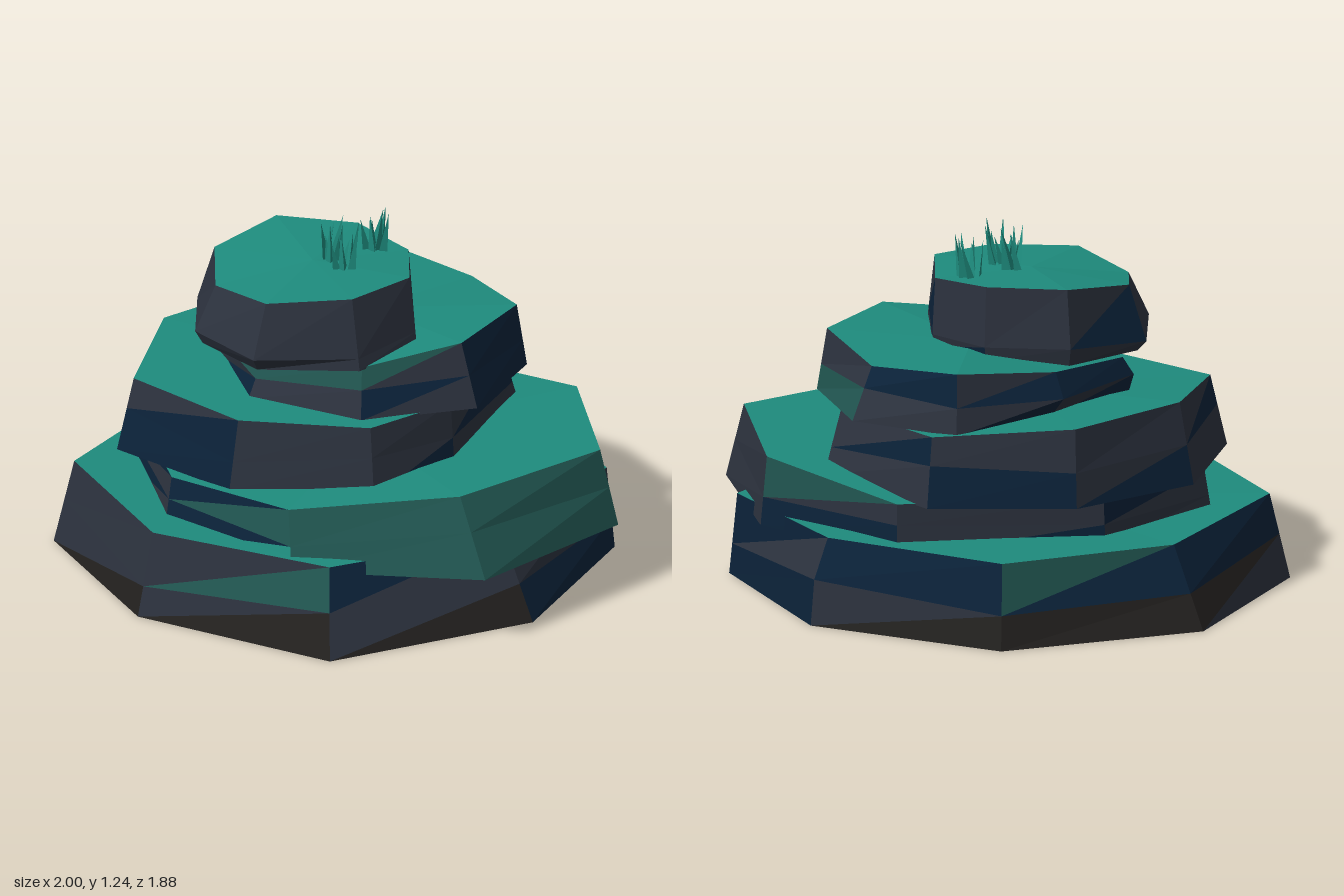
import * as THREE from 'three';

const make = (name, color) => {
  const m = new THREE.MeshStandardMaterial({ color });
  m.name = name;
  return m;
};

// One rock slab: each corner is [bottom x, bottom z, top x, top z, top y, flare],
// where flare pushes the middle ring outwards.
// Each side has four letters: two lower triangles, then two upper ones.
function slab(name, baseY, centreY, midRatio, corners, sides, materials) {
  const letters = 'tsnbm'; // turf, slate, navy, brown, moss
  const faces = [[], [], [], [], []];
  const put = (letter, ...pts) =>
    faces[letters.indexOf(letter)].push(...pts.flatMap((p) => p.toArray()));
  const centre = (ring, y) => ring
    .reduce((sum, p) => sum.add(p), new THREE.Vector3())
    .divideScalar(ring.length).setY(y);

  const low = corners.map(([x, z]) => new THREE.Vector3(x, baseY, z));
  const high = corners.map(([, , x, z, y]) => new THREE.Vector3(x, y, z));
  const topCentre = centre(high, centreY);
  const lowCentre = centre(low, baseY);
  const mid = corners.map(([, , , , , flare = 1], i) => {
    const p = low[i].clone().lerp(high[i], midRatio * (1 + 0.2 * Math.sin(i * 2.4)));
    p.x = lowCentre.x + (p.x - lowCentre.x) * flare;
    p.z = lowCentre.z + (p.z - lowCentre.z) * flare;
    return p;
  });

  corners.forEach((_, i) => {
    const j = (i + 1) % corners.length;
    const c = sides[i];
    put(c[0], low[i], mid[i], low[j]);
    put(c[1], mid[i], mid[j], low[j]);
    put(c[2], mid[i], high[i], mid[j]);
    put(c[3], high[i], high[j], mid[j]);
    put('t', topCentre, high[j], high[i]);
    put('b', lowCentre, low[i], low[j]);
  });

  const geo = new THREE.BufferGeometry();
  let start = 0;
  faces.forEach((f, k) => {
    if (f.length) geo.addGroup(start, f.length / 3, k);
    start += f.length / 3;
  });
  geo.setAttribute('position', new THREE.Float32BufferAttribute(faces.flat(), 3));
  geo.computeVertexNormals();
  const mesh = new THREE.Mesh(geo, materials);
  mesh.name = name;
  return mesh;
}

// A clump of thin three-sided blades leaning outwards
function tuft(x, z, turn, material) {
  const group = new THREE.Group();
  group.name = 'grassTuft';
  for (let i = 0; i < 7; i++) {
    const a = turn + i * 2.4;
    const h = 0.1 + 0.065 * Math.abs(Math.cos(i * 1.7 + turn));
    const reach = 0.01 + 0.004 * i;
    const cone = new THREE.ConeGeometry(0.017, h, 3);
    cone.translate(0, h / 2, 0);
    const geo = cone.toNonIndexed();
    geo.computeVertexNormals();
    const blade = new THREE.Mesh(geo, material);
    blade.name = 'grassBlade';
    blade.position.set(reach * Math.cos(a), 0, reach * Math.sin(a));
    blade.rotation.set(0.2 * Math.sin(a), a, -0.2 * Math.cos(a));
    group.add(blade);
  }
  group.position.set(x, 1.08, z);
  return group;
}

export function createModel() {
  const model = new THREE.Group();
  model.name = 'steppedRock';
  const turf = make('turf', 0x1e8b7d);
  const mats = [
    turf,
    make('slate', 0x2c323e),
    make('navy', 0x0b2239),
    make('brown', 0x23211f),
    make('moss', 0x20544f),
  ];

  model.add(slab('baseSlab', 0, 0.3, 0.45, [
    [0.96, -0.03, 0.82, -0.02, 0.28],
    [0.74, 0.72, 0.63, 0.62, 0.29],
    [0, 0.94, 0, 0.87, 0.295],
    [-0.69, 0.7, -0.64, 0.65, 0.3],
    [-1, 0.01, -0.85, 0.01, 0.28],
    [-0.72, -0.68, -0.66, -0.62, 0.29],
    [-0.03, -0.94, -0.03, -0.86, 0.3, 1.03],
    [0.66, -0.69, 0.63, -0.68, 0.29],
  ], ['bssn', 'bsms', 'bsss', 'sbnn', 'bbnm', 'bsnn', 'nnsn', 'nnss'], mats));

  model.add(slab('wideSlab', 0.245, 0.46, 0.5, [
    [0.95, -0.44, 0.88, -0.42, 0.51],
    [1, 0.23, 0.84, 0.2, 0.5],
    [0.49, 0.67, 0.42, 0.62, 0.44],
    [-0.08, 0.74, -0.1, 0.69, 0.42],
    [-0.6, 0.42, -0.58, 0.4, 0.42],
    [-0.62, -0.1, -0.61, -0.1, 0.42],
    [-0.23, -0.72, -0.22, -0.71, 0.43],
    [0.39, -0.79, 0.38, -0.77, 0.49],
  ], ['mmmm', 'mmmm', 'tnmn', 'snsn', 'sssn', 'nsss', 'nnsm', 'ssss'], mats));

  model.add(slab('middleSlab', 0.425, 0.69, 0.5, [
    [0.54, -0.05, 0.52, -0.05, 0.68],
    [0.52, 0.31, 0.48, 0.29, 0.67],
    [0.13, 0.63, 0.12, 0.58, 0.67],
    [-0.4, 0.67, -0.38, 0.61, 0.68],
    [-0.71, 0.23, -0.65, 0.22, 0.71],
    [-0.67, -0.28, -0.64, -0.26, 0.7],
    [-0.32, -0.66, -0.3, -0.62, 0.67],
    [0.25, -0.62, 0.24, -0.55, 0.65],
  ], ['nsss', 'ssss', 'nnns', 'ssns', 'nsss', 'nnss', 'ssns', 'ssns'], mats));

  model.add(slab('upperSlab', 0.67, 0.86, 0.5, [
    [0.6, -0.1, 0.52, -0.1, 0.89],
    [0.41, 0.27, 0.36, 0.22, 0.84],
    [0, 0.42, 0, 0.34, 0.83],
    [-0.37, 0.23, -0.38, 0.2, 0.82, 1.06],
    [-0.39, -0.15, -0.42, -0.15, 0.84, 1.13],
    [-0.35, -0.55, -0.32, -0.52, 0.88],
    [0.04, -0.68, 0.04, -0.59, 0.85],
    [0.43, -0.49, 0.4, -0.47, 0.89],
  ], ['snsm', 'ssmm', 'nsmn', 'nsnn', 'nsns', 'ssnn', 'mmss', 'nnnn'], mats));

  model.add(slab('topSlab', 0.835, 1.09, 0.2, [
    [0.12, 0.49, 0.12, 0.45, 1.07, 1.11],
    [-0.18, 0.47, -0.17, 0.42, 1.04, 1.1],
    [-0.39, 0.26, -0.37, 0.24, 1.07, 1.1],
    [-0.38, -0.05, -0.37, -0.05, 1.105, 1.05],
    [-0.14, -0.22, -0.14, -0.22, 1.1, 1.03],
    [0.12, -0.22, 0.12, -0.22, 1.08, 1.03],
    [0.36, -0.04, 0.32, -0.04, 1.09],
    [0.37, 0.24, 0.31, 0.22, 1.08],
  ], ['ssss', 'ssss', 'ssns', 'ssss', 'nsss', 'nsns', 'ssss', 'ssss'], mats));

  // Grass on the summit
  [[0.04, -0.14, 0.3], [0.01, 0.04, 1.5], [0.1, 0.06, 2.6]]
    .forEach(([x, z, turn]) => model.add(tuft(x, z, turn, turf)));

  return model;
}
